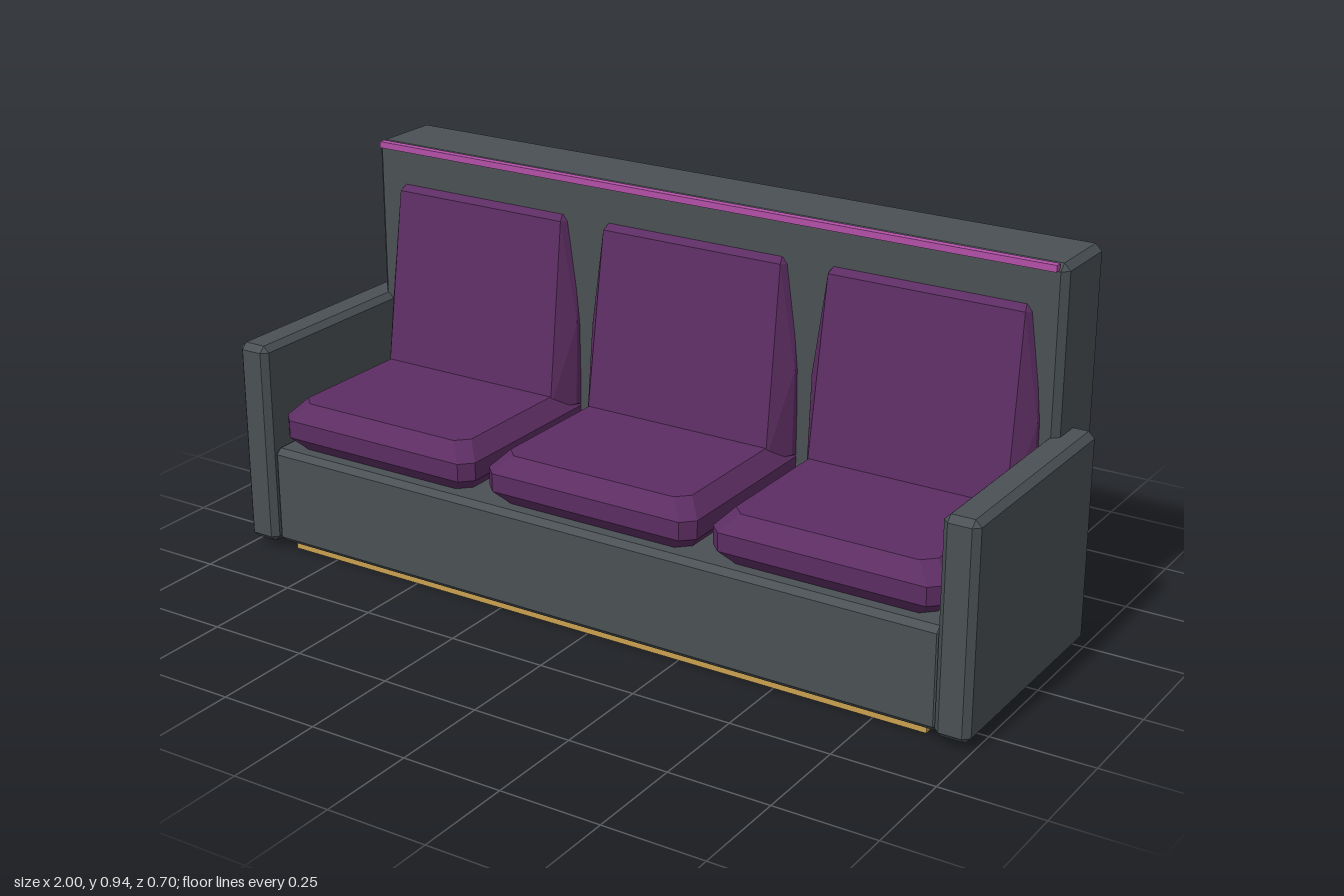
import * as THREE from 'three';
import { ConvexGeometry } from 'three/addons/geometries/ConvexGeometry.js';

const material = (name, color) => {
  const m = new THREE.MeshStandardMaterial({ color });
  m.name = name;
  return m;
};

// Box given by its ranges, with all edges cut by a chamfer c
function chamferBox([x0, x1], [y0, y1], [z0, z1], c) {
  const half = new THREE.Vector3(x1 - x0, y1 - y0, z1 - z0).multiplyScalar(0.5);
  const points = [];
  for (const sx of [-1, 1]) for (const sy of [-1, 1]) for (const sz of [-1, 1]) {
    for (let axis = 0; axis < 3; axis++) {
      const p = half.clone().subScalar(c);
      p.setComponent(axis, half.getComponent(axis));
      points.push(p.multiply(new THREE.Vector3(sx, sy, sz)));
    }
  }
  return new ConvexGeometry(points).translate((x0 + x1) / 2, (y0 + y1) / 2, (z0 + z1) / 2);
}

// Convex solid from points mirrored over x
function mirroredHull(points) {
  return new ConvexGeometry(points.flatMap(([x, y, z]) =>
    [new THREE.Vector3(x, y, z), new THREE.Vector3(-x, y, z)]));
}

export function createModel() {
  const grey = material('grey fabric', 0x4a5054);
  const purple = material('purple fabric', 0x5c2d62);
  const pink = material('pink trim', 0xb24fa6);
  const gold = material('golden base', 0xc9a050);

  const sofa = new THREE.Group();
  sofa.name = 'sofa';
  const add = (name, geometry, mat, x = 0) => {
    const mesh = new THREE.Mesh(geometry, mat);
    mesh.name = name;
    mesh.position.x = x;
    sofa.add(mesh);
  };

  // Frame
  add('seatBase', chamferBox([-0.92, 0.92], [0.02, 0.27], [-0.3, 0.335], 0.014), grey);
  add('backrest', chamferBox([-0.945, 0.945], [0.02, 0.94], [-0.35, -0.15], 0.016), grey);
  add('leftArm', chamferBox([0.912, 0.998], [0.02, 0.538], [-0.25, 0.352], 0.015), grey);
  add('rightArm', chamferBox([-0.998, -0.912], [0.02, 0.538], [-0.25, 0.352], 0.015), grey);

  // Plinth and trim
  add('plinth', new THREE.BoxGeometry(1.76, 0.03, 0.52).translate(0, 0.015, 0.05), gold);
  add('backTrim', new THREE.BoxGeometry(1.85, 0.016, 0.018).translate(0, 0.934, -0.145), pink);

  // Seat cushion: stacked outlines, fullest at mid height
  const seatPoints = [];
  for (const [y, halfWidth, front] of [
    [0.268, 0.255, 0.29], [0.305, 0.287, 0.322], [0.35, 0.287, 0.322], [0.39, 0.25, 0.285],
  ]) {
    seatPoints.push([halfWidth, y, -0.17], [halfWidth, y, front - 0.03], [halfWidth - 0.03, y, front]);
  }
  const seat = mirroredHull(seatPoints);

  // Back cushion: wedge leaning back, narrower at the front and top
  const back = mirroredHull([
    [0.287, 0.35, -0.17], [0.287, 0.57, -0.17], [0.262, 0.82, -0.17], [0.245, 0.84, -0.17],
    [0.287, 0.36, -0.13], [0.285, 0.57, -0.14],
    [0.252, 0.36, -0.066], [0.245, 0.825, -0.132], [0.24, 0.838, -0.148],
  ]);

  for (const x of [-0.615, 0, 0.615]) {
    add('seatCushion', seat, purple, x);
    add('backCushion', back, purple, x);
  }
  return sofa;
}
